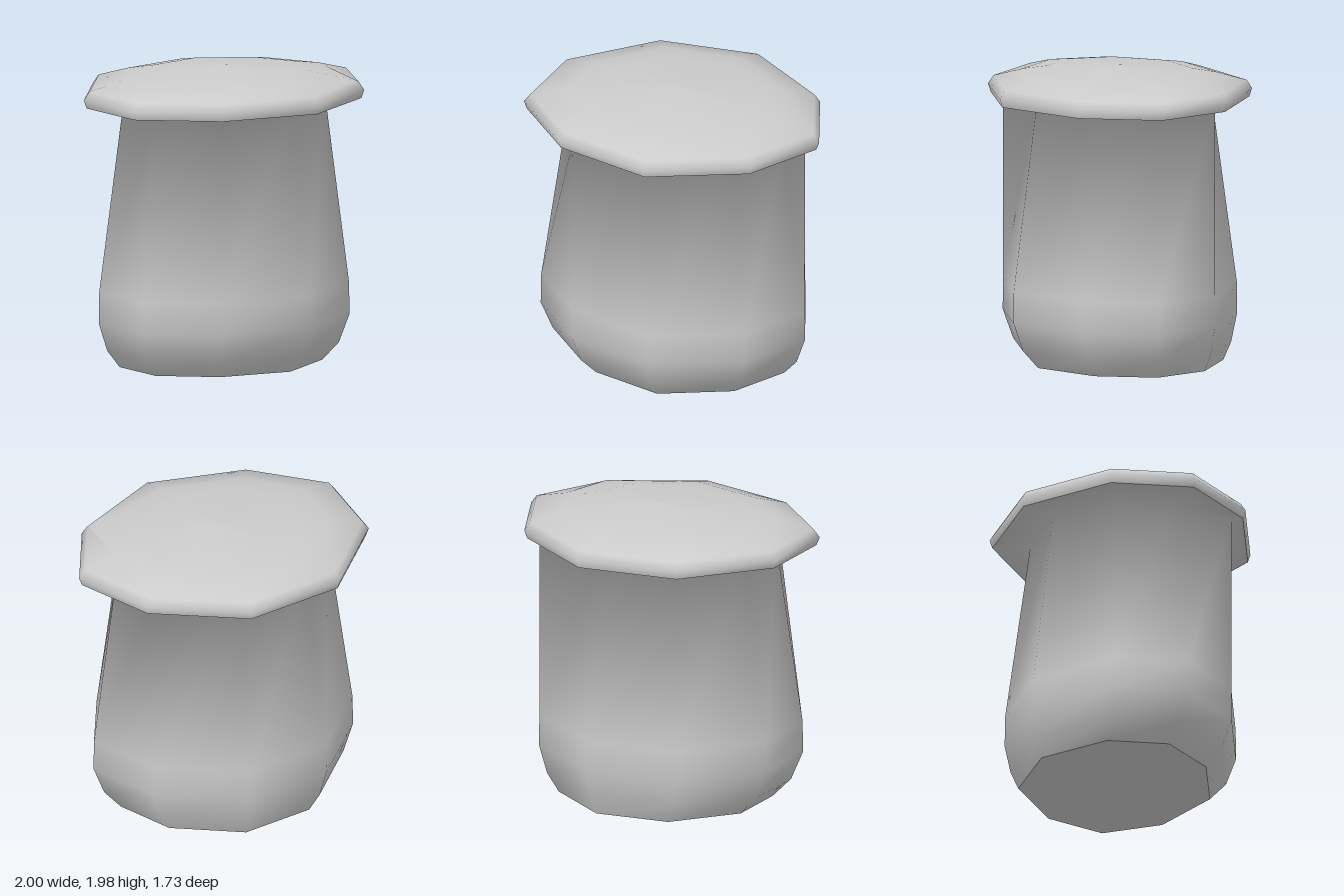
import * as THREE from 'three';

const material = new THREE.MeshStandardMaterial({ color: 0xcccccc });

// Uneven nine-cornered plan (x, z) shared by the lid and the body
const outline = [
  [1, 0], [0.75, 0.512], [0.14, 0.865], [-0.55, 0.742], [-1, 0.35],
  [-1, -0.21], [-0.55, -0.745], [0.14, -0.868], [0.75, -0.515],
];
const SIDES = outline.length;

// The plan at a given height, scaled in x and z and shifted in z.
function ring(y, sx, sz = sx, dz = 0) {
  return outline.map(([x, z]) => [x * sx, y, z * sz + dz]);
}

// Smooth skin through a stack of rings; every face counts equally in the normals.
function loft(rings) {
  const points = rings.flat().map((p) => new THREE.Vector3(...p));
  const normals = points.map(() => new THREE.Vector3());
  const index = [];
  const triangle = new THREE.Triangle();
  const normal = new THREE.Vector3();
  const addFace = (...corners) => {
    index.push(...corners);
    triangle.set(...corners.map((c) => points[c])).getNormal(normal);
    corners.forEach((c) => normals[c].add(normal));
  };
  for (let i = 0; i < rings.length - 1; i++) {
    for (let j = 0; j < SIDES; j++) {
      const a = i * SIDES + j, b = i * SIDES + ((j + 1) % SIDES);
      addFace(a, a + SIDES, b);
      addFace(b, a + SIDES, b + SIDES);
    }
  }
  const geometry = new THREE.BufferGeometry().setFromPoints(points);
  const flat = normals.flatMap((n) => n.normalize().toArray());
  geometry.setAttribute('normal', new THREE.Float32BufferAttribute(flat, 3));
  geometry.setIndex(index);
  return geometry;
}

function add(group, name, geometry) {
  const mesh = new THREE.Mesh(geometry, material);
  mesh.name = name;
  group.add(mesh);
}

export function createModel() {
  const model = new THREE.Group();
  model.name = 'liddedPot';

  // Lid: shallow dome with one front corner left lower than the rest
  const lid = [
    ring(1.755, 0.98), ring(1.81, 1), ring(1.865, 0.96),
    ring(1.922, 0.735), ring(1.95, 0.55), ring(1.983, 0.001),
  ];
  lid[3][1] = [0.71, 1.872, 0.484];
  add(model, 'lid', loft(lid));

  // Body: tapers to the mouth, except for two corners that rise straight up
  const belly = ring(0.52, 0.893, 0.885);
  const mouth = ring(1.755, 0.73, 0.695);
  for (const corner of [3, 8]) mouth[corner] = [belly[corner][0], 1.755, belly[corner][2]];
  const body = [
    ring(0, 0.72, 0.735, -0.045),
    ring(0.12, 0.826, 0.826, -0.015),
    ring(0.31, 0.896, 0.887),
    belly,
    mouth,
    lid[0],
  ];
  add(model, 'body', loft(body));

  // Flat base
  add(model, 'base', loft([ring(0, 0), body[0]]));

  return model;
}
